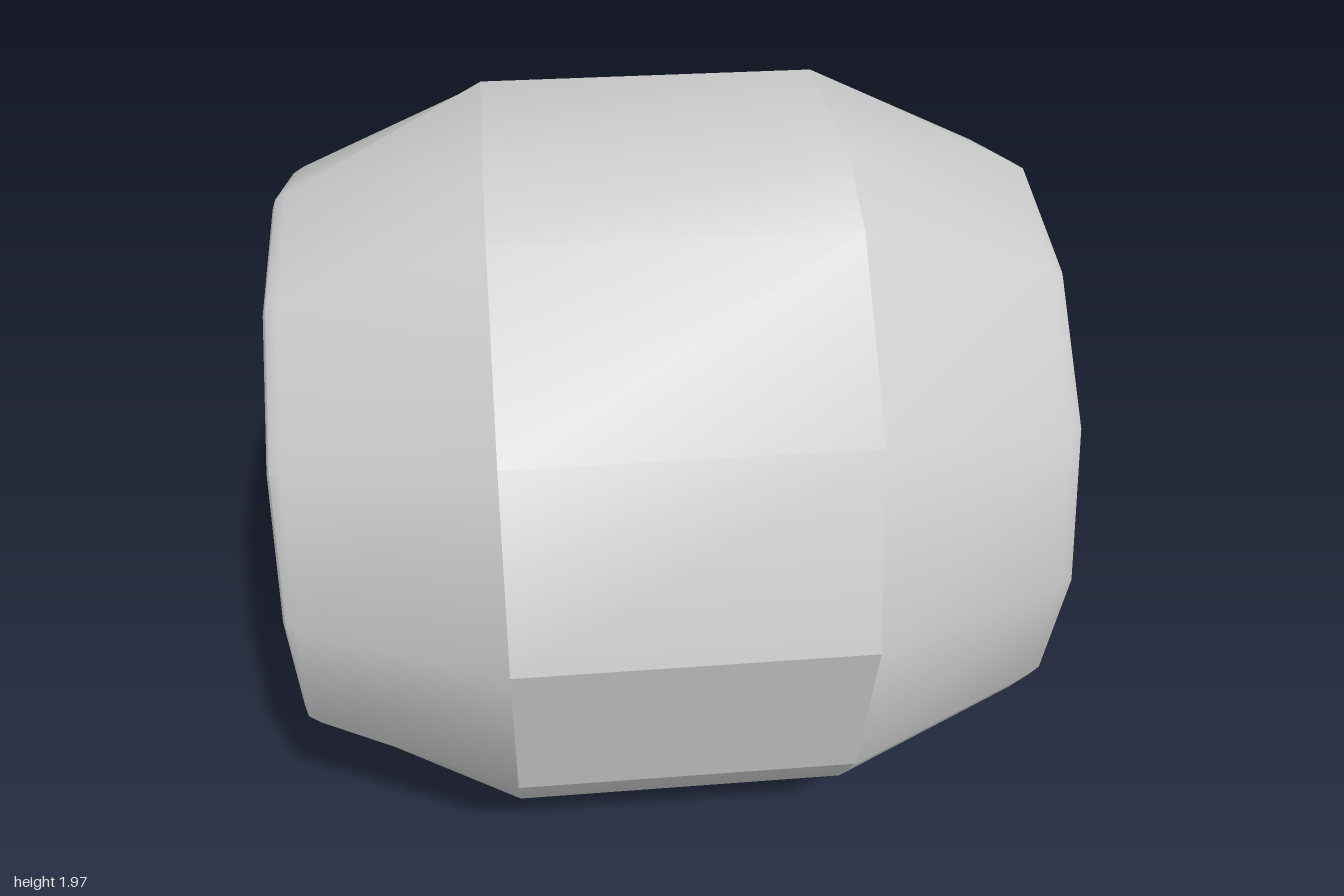
import * as THREE from 'three';
import { toCreasedNormals } from 'three/addons/utils/BufferGeometryUtils.js';

// A ring of corners round the x axis; angles in degrees from +z towards +y.
const ring = (x, r, angles) => ({ angles, at: a => {
  const t = THREE.MathUtils.degToRad(a);
  return [x, 1 + r * Math.sin(t), r * Math.cos(t)];
} });

// Joins two rings whose corners need not match, from angle 'from' to 'to'.
function stitch(a, b, from = 0, to = 360) {
  const out = [];
  const A = [...a.angles, 360], B = [...b.angles, 360];
  let i = 0, j = 0;
  while (i < A.length - 1 || j < B.length - 1) {
    const stepB = i === A.length - 1 || (j < B.length - 1 && B[j + 1] <= A[i + 1]);
    const low = Math.min(A[i], B[j]);
    if (low >= from && low < to) {
      const next = stepB ? b.at(B[j + 1]) : a.at(A[i + 1]);
      out.push(...a.at(A[i]), ...b.at(B[j]), ...next);
    }
    if (stepB) j++; else i++;
  }
  return out;
}

// Closes a ring with a flat disc facing along sign * x.
function disc(r, sign) {
  const out = [], x = r.at(0)[0];
  r.angles.forEach((a, i) => {
    const p = r.at(a), q = r.at(r.angles[(i + 1) % r.angles.length]);
    out.push(x, 1, 0, ...(sign > 0 ? [...q, ...p] : [...p, ...q]));
  });
  return out;
}

function part(name, points, crease) {
  const g = new THREE.BufferGeometry();
  g.setAttribute('position', new THREE.Float32BufferAttribute(points, 3));
  const mesh = new THREE.Mesh(toCreasedNormals(g, crease),
    new THREE.MeshStandardMaterial({ color: 0xcccccc }));
  mesh.name = name;
  return mesh;
}

export function createModel() {
  const group = new THREE.Group();
  group.name = 'barrel';
  const even = Array.from({ length: 12 }, (_, i) => i * 30);

  // Uneven corners of the belt and of the two ends
  const beltLeft = [0, 30, 60, 75, 105, 120, 150, 180, 210, 240, 255, 270, 285, 315, 330];
  const beltRight = [0, 30, 60, 75, 105, 120, 150, 180, 210, 225, 240, 255, 270, 285, 300, 315, 330];
  const rimLeft = [0, 30, 60, 90, 120, 135, 150, 165, 180, 210, 240, 255, 285, 300, 315, 330];
  const capLeft = rimLeft.filter(a => a !== 300 && a !== 315);

  const rings = [
    ring(-0.985, 0.745, even), ring(-0.975, 0.772, even), ring(-0.945, 0.79, even),
    ring(-0.44, 1, beltRight), ring(0.44, 1, beltLeft),
    ring(0.945, 0.79, rimLeft), ring(0.975, 0.772, rimLeft), ring(0.985, 0.745, capLeft)
  ];
  const join = (i, from, to) => stitch(rings[i], rings[i + 1], from, to);

  // Tapered, rounded-over ends
  group.add(part('rightEnd', [...join(0), ...join(1), ...join(2), ...disc(rings[0], -1)], 0.7));
  group.add(part('leftEnd', [...join(4), ...join(5), ...join(6), ...disc(rings[7], 1)], 0.7));

  // Middle band, with flat panels low on the front
  group.add(part('belt', join(3, 0, 285), 0.7));
  group.add(part('frontPanels', join(3, 285, 360), 0.3));
  return group;
}
